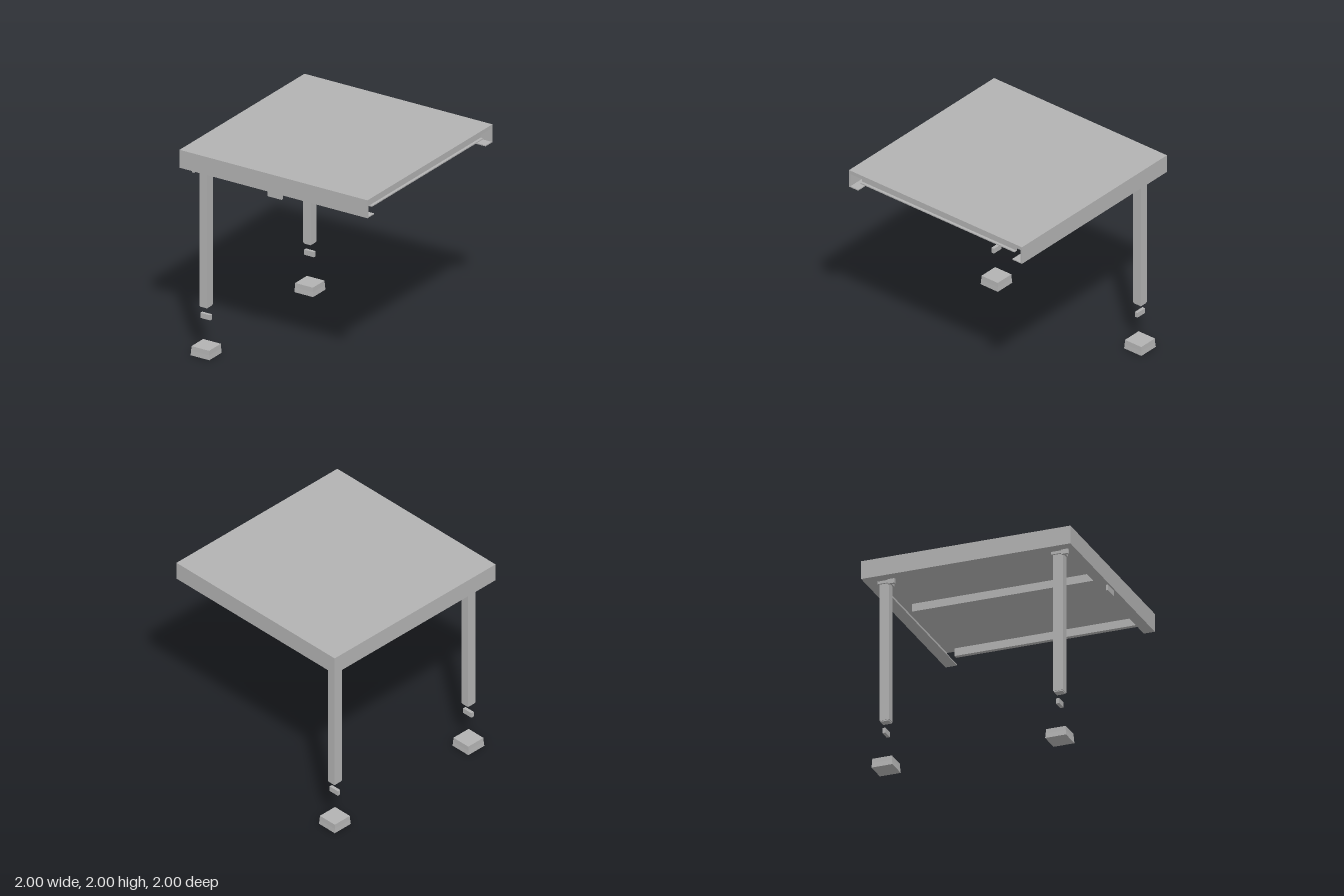
import * as THREE from 'three';

const grey = new THREE.MeshStandardMaterial({ color: 0xb2b2b2 });
grey.name = 'light grey';

// Box given by its minimum and maximum on each axis
function box(parent, name, [x0, x1], [y0, y1], [z0, z1]) {
  const mesh = new THREE.Mesh(new THREE.BoxGeometry(x1 - x0, y1 - y0, z1 - z0), grey);
  mesh.position.set((x0 + x1) / 2, (y0 + y1) / 2, (z0 + z1) / 2);
  mesh.name = name;
  parent.add(mesh);
  return mesh;
}

// Square slab with sides that lean inward towards the top
function taperedSlab(parent, name, bottom, top, y0, y1) {
  const geo = new THREE.BoxGeometry(2, y1 - y0, 2);
  const p = geo.attributes.position;
  for (let i = 0; i < p.count; i++) {
    const half = p.getY(i) > 0 ? top : bottom;
    p.setX(i, p.getX(i) * half);
    p.setZ(i, p.getZ(i) * half);
  }
  geo.computeVertexNormals();
  const mesh = new THREE.Mesh(geo, grey);
  mesh.position.y = (y0 + y1) / 2;
  mesh.name = name;
  parent.add(mesh);
}

export function createModel() {
  const model = new THREE.Group();
  model.name = 'tableSection';

  // Top sheet, with the +x side left open
  const top = new THREE.Group();
  top.name = 'tableTop';
  model.add(top);
  box(top, 'topPanel', [-0.99, 1], [1.965, 2], [-0.99, 0.99]);

  // Skirts on three sides, each folded inward along its lower edge
  box(top, 'frontSkirt', [-1, 1], [1.826, 2], [0.985, 1]);
  box(top, 'frontLip', [-0.985, 1], [1.826, 1.836], [0.895, 0.985]);
  box(top, 'backSkirt', [-1, 1], [1.826, 2], [-1, -0.985]);
  box(top, 'backLip', [-0.985, 1], [1.826, 1.836], [-0.985, -0.89]);
  box(top, 'sideSkirt', [-1, -0.985], [1.826, 2], [-0.985, 0.985]);
  box(top, 'sideLip', [-0.985, -0.895], [1.826, 1.836], [-0.89, 0.895]);
  box(top, 'sideRail', [-0.91, -0.895], [1.836, 1.89], [-0.78, 0.78]);

  // Rail with a ledge along the open side
  box(top, 'openSideRail', [0.935, 0.95], [1.89, 1.965], [-0.89, 0.89]);
  box(top, 'openSideLedge', [0.95, 0.975], [1.89, 1.9], [-0.89, 0.89]);

  // Middle beam and the bracket beneath its front end
  box(top, 'middleBeam', [-0.07, 0.07], [1.89, 1.965], [-0.89, 0.965]);
  box(top, 'beamBracket', [-0.075, 0.075], [1.772, 1.965], [0.965, 0.985]);

  // Two legs with their fittings, each built around its own axis
  for (const side of [1, -1]) {
    const leg = new THREE.Group();
    leg.name = side > 0 ? 'frontLeg' : 'backLeg';
    leg.position.set(-0.83, 0, side * 0.83);
    model.add(leg);

    box(leg, 'post', [-0.041, 0.041], [0.475, 1.95], [-0.046, 0.046]);
    box(leg, 'postEnd', [-0.036, 0.036], [0.465, 0.475], [-0.041, 0.041]);
    box(leg, 'collar', [-0.055, 0.05], [1.805, 1.836], [-0.06, 0.06]);
    box(leg, 'mountingPlate', [-0.11, 0.11], [1.952, 1.965], [-0.11, 0.11]);
    box(leg, 'clip', [-0.08, -0.055], [1.782, 1.83], [0.045, 0.11]);

    // Brace running diagonally across the corner
    const brace = box(leg, 'cornerBrace', [-0.2, 0.2], [1.838, 1.862], [-0.012, 0.012]);
    brace.rotation.y = -side * Math.PI / 4;

    // Loose spacer and foot below the post
    box(leg, 'spacer', [-0.052, 0.052], [0.343, 0.393], [-0.015, 0.015]);
    taperedSlab(leg, 'footBase', 0.1, 0.096, 0, 0.045);
    taperedSlab(leg, 'footTop', 0.096, 0.094, 0.045, 0.088);
  }
  return model;
}
